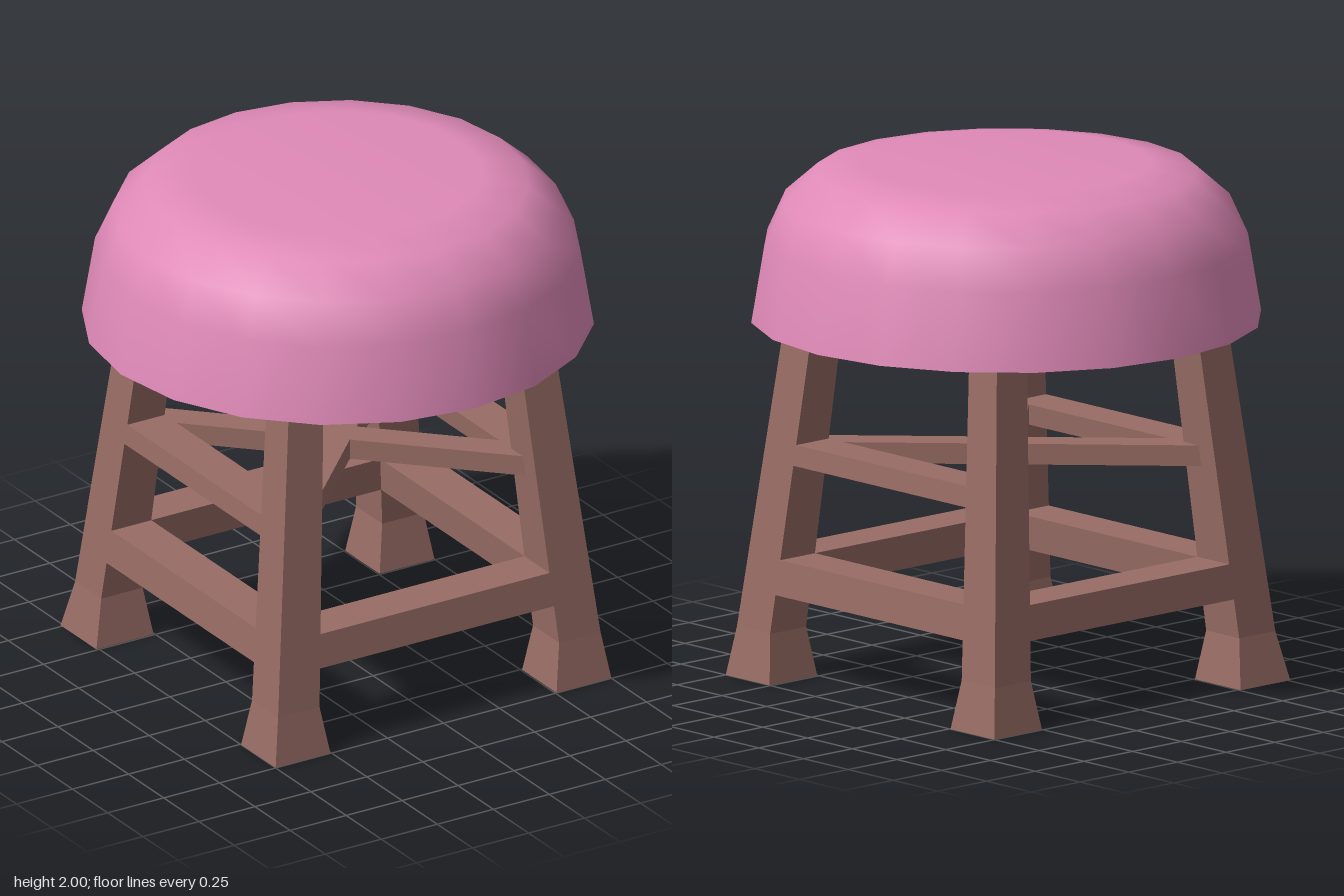
import * as THREE from 'three';

const wood = new THREE.MeshStandardMaterial({ color: 0x986c65, flatShading: true });
wood.name = 'brown wood';
const cushion = new THREE.MeshStandardMaterial({ color: 0xe08ab8 });
cushion.name = 'pink cushion';

// Inner and outer distance of the sloping leg faces from the centre at height y
const inner = (y) => 0.535 - (0.1 * (y - 0.19)) / 1.21;
const outer = (y) => 0.72 - (0.13 * (y - 0.19)) / 1.21;

// Closed solid through four-cornered rings (counter-clockwise seen from the last ring)
function loft(rings) {
  const pos = [];
  const quad = (a, b, c, d) => pos.push(...a, ...b, ...c, ...a, ...c, ...d);
  for (let i = 0; i < rings.length - 1; i++) {
    const [lo, hi] = [rings[i], rings[i + 1]];
    for (let j = 0; j < 4; j++) {
      const k = (j + 1) % 4;
      quad(lo[j], lo[k], hi[k], hi[j]);
    }
  }
  quad(...rings[rings.length - 1]);
  quad(...[...rings[0]].reverse());
  const g = new THREE.BufferGeometry();
  g.setAttribute('position', new THREE.Float32BufferAttribute(pos, 3));
  g.computeVertexNormals();
  return g;
}

// Square-section leg at the +x +z corner with a flared foot
function legGeometry(footOuter) {
  const ring = (y, a, b) => [[a, y, b], [b, y, b], [b, y, a], [a, y, a]];
  return loft([
    ring(0, 0.505, footOuter),
    ring(0.19, inner(0.19), outer(0.19)),
    ring(1.41, inner(1.41), outer(1.41)),
  ]);
}

// Rail on the +z side, flush with the leg faces
function railGeometry(y0, y1) {
  const end = inner(y0) + 0.01;
  const ring = (x) => [
    [x, y0, outer(y0)], [x, y0, inner(y0)], [x, y1, inner(y1)], [x, y1, outer(y1)],
  ];
  return loft([ring(-end), ring(end)]);
}

export function createModel() {
  const model = new THREE.Group();
  model.name = 'stool';
  const add = (name, geometry, material, turn = 0) => {
    const mesh = new THREE.Mesh(geometry, material);
    mesh.name = name;
    mesh.rotation.y = turn;
    model.add(mesh);
    return mesh;
  };

  // Domed seat with a flat underside
  const profile = [
    [0.97, 1.4], [0.92, 1.7], [0.85, 1.855], [0.725, 1.965], [0.55, 2], [0, 2],
  ].map(([r, y]) => new THREE.Vector2(r, y));
  add('seatCushion', new THREE.LatheGeometry(profile, 20), cushion);
  const underside = new THREE.CircleGeometry(0.97, 20).rotateX(Math.PI / 2);
  add('seatUnderside', underside.translate(0, 1.4, 0), cushion);

  // Legs and lower rails all round, upper rails on the two sides only
  for (let k = 0; k < 4; k++) {
    const turn = (k * Math.PI) / 2;
    add('leg', legGeometry(k === 2 ? 0.76 : 0.75), wood, turn);
    add('lowerRail', railGeometry(0.34, 0.475), wood, turn);
    if (k % 2) add('upperRail', railGeometry(0.84, 0.92), wood, turn);
  }

  // Crossed braces between opposite legs
  for (const s of [-1, 1]) {
    const brace = add('crossBrace', new THREE.BoxGeometry(1.5, 0.08, 0.12), wood, (s * Math.PI) / 4);
    brace.position.y = 0.88;
  }
  return model;
}
